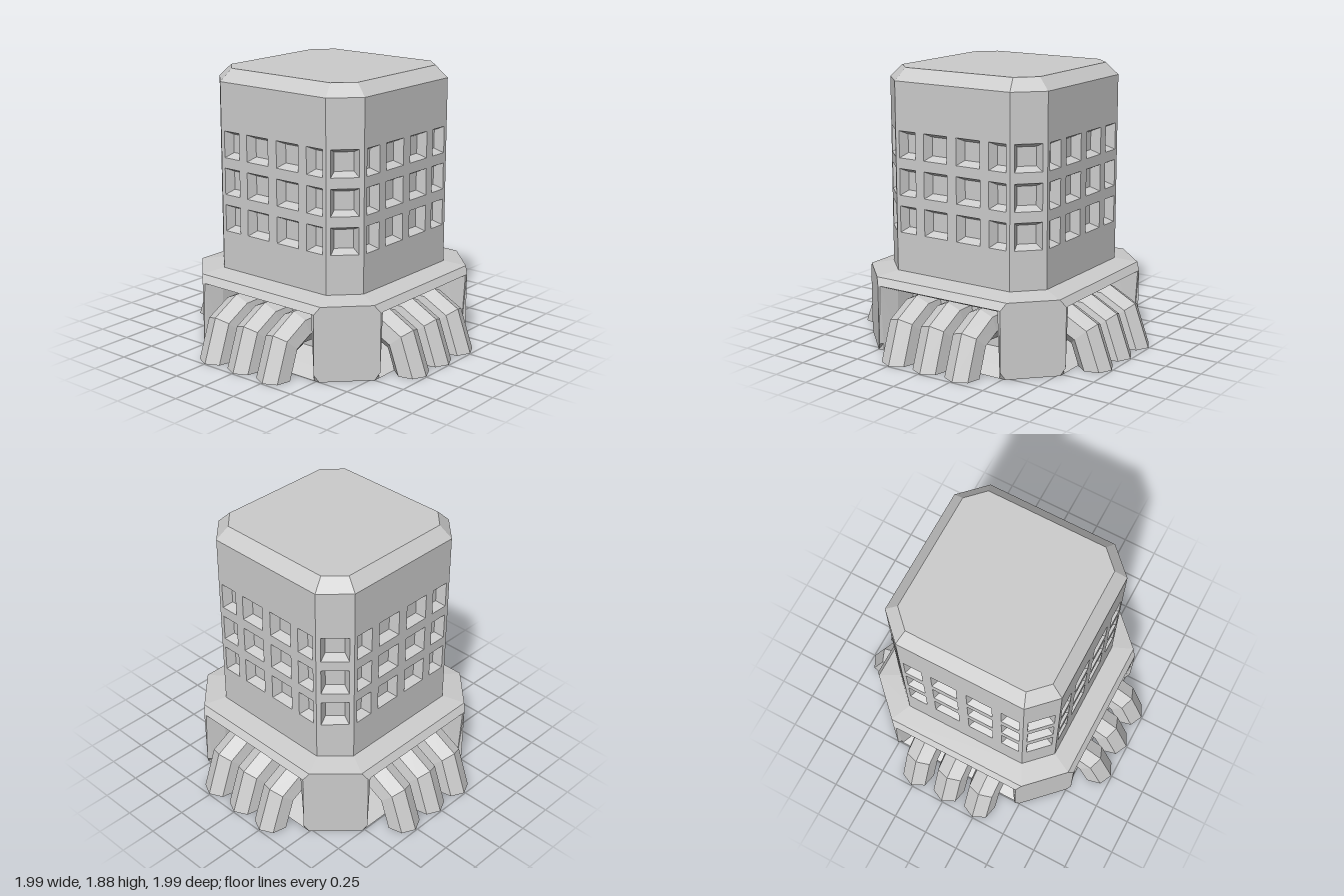
import * as THREE from 'three';

const material = new THREE.MeshStandardMaterial({ color: 0xcccccc, flatShading: true, side: THREE.DoubleSide });
const V = (x, y, z) => new THREE.Vector3(x, y, z);

// Faces from polygons, each listed counter-clockwise from its front
function polyMesh(name, polygons) {
  const pts = [];
  for (const p of polygons)
    for (let i = 1; i < p.length - 1; i++) pts.push(p[0], p[i], p[i + 1]);
  const geometry = new THREE.BufferGeometry().setFromPoints(pts);
  geometry.computeVertexNormals();
  const mesh = new THREE.Mesh(geometry, material);
  mesh.name = name;
  return mesh;
}

// Quads joining successive rings of equal length
function loft(rings) {
  const quads = [];
  for (let r = 0; r < rings.length - 1; r++) {
    const a = rings[r], b = rings[r + 1], n = a.length;
    for (let i = 0; i < n; i++) quads.push([a[i], a[(i + 1) % n], b[(i + 1) % n], b[i]]);
  }
  return quads;
}

// Square with cut corners: half size h, half flat length f
const octagon = (h, f, y) =>
  [[-f, h], [f, h], [h, f], [h, -f], [f, -h], [-f, -h], [-h, -f], [-h, f]].map(([x, z]) => V(x, y, z));

const rect = (x0, x1, y0, y1, z0, z1 = z0) => [V(x0, y0, z0), V(x1, y0, z0), V(x1, y1, z1), V(x0, y1, z1)];

// Tower wall facing +z with tapered, closed window pockets
function windowWall(name, halfWidth, distance, windows) {
  const wall = new THREE.Group();
  wall.name = name;
  const shape = new THREE.Shape(rect(-halfWidth, halfWidth, 0.53, 1.8, 0).map(p => new THREE.Vector2(p.x, p.y)));
  const pockets = [];
  const inset = 0.028, depth = 0.06;
  for (const y of [0.884, 1.135, 1.386])
    for (const [x, w] of windows) {
      const outer = rect(x - w / 2, x + w / 2, y - 0.09, y + 0.09, 0);
      const inner = rect(x - w / 2 + inset, x + w / 2 - inset, y - 0.09 + inset, y + 0.09 - inset, -depth);
      shape.holes.push(new THREE.Path(outer.map(p => new THREE.Vector2(p.x, p.y)).reverse()));
      pockets.push(...loft([outer, inner]), inner);
    }
  const panel = new THREE.Mesh(new THREE.ShapeGeometry(shape), material);
  panel.name = 'wallPanel';
  wall.add(panel, polyMesh('windowPockets', pockets));
  wall.children.forEach(m => { m.position.z = distance; });
  return wall;
}

// Base side facing +z: frame strips, lintel and a deep two-step recess
function baseSide() {
  const rows = [[0, 0.76, 0.51], [0.05, 0.785, 0.485], [0.455, 0.785, 0.485], [0.505, 0.755, 0.515]];
  const edge = 0.465;
  const polys = [];
  for (let i = 0; i < 2; i++) {
    const [y0, z0, f0] = rows[i], [y1, z1, f1] = rows[i + 1];
    const e0 = 0.76 + 0.025 * y0 / 0.455, e1 = 0.76 + 0.025 * y1 / 0.455;
    polys.push([V(edge, y0, e0), V(f0, y0, z0), V(f1, y1, z1), V(edge, y1, e1)]);
    polys.push([V(-f0, y0, z0), V(-edge, y0, e0), V(-edge, y1, e1), V(-f1, y1, z1)]);
  }
  const [, , [yl, zl, fl], [yt, zt, ft]] = rows;
  polys.push([V(-fl, yl, zl), V(fl, yl, zl), V(ft, yt, zt), V(-ft, yt, zt)]);
  const back = rect(-0.39, 0.39, 0.11, 0.4, 0.53);
  polys.push(...loft([rect(-edge, edge, 0, 0.455, 0.76, 0.785), rect(-0.41, 0.41, 0.05, 0.405, 0.67), back]), back);
  return polyMesh('baseSide', polys);
}

// Base corner panel between the +z and +x sides
function baseCorner() {
  const rows = [[0, 0.76, 0.51], [0.05, 0.785, 0.485], [0.455, 0.785, 0.485], [0.505, 0.755, 0.515]];
  const left = rows.map(([y, h, f]) => V(f, y, h));
  const right = rows.map(([y, h, f]) => V(h, y, f));
  return polyMesh('baseCorner', [[left[0], ...right, ...left.slice(1).reverse()]]);
}

// Bent seven-sided claw: [distance out, height, tilt] per station
function claw(x) {
  const stations = [[0.88, 0, 0], [0.8, 0.215, 0.72], [0.66, 0.285, 1.35], [0.5, 0.285, Math.PI / 2]];
  const R = 0.115;
  const rings = stations.map(([out, y, tilt]) => Array.from({ length: 7 }, (_, i) => {
    const a = i / 7 * Math.PI * 2, u = R * Math.cos(a);
    return V(x + R * Math.sin(a), y + u * Math.sin(tilt), out + u * Math.cos(tilt));
  }));
  return polyMesh('claw', [...loft(rings), [...rings[0]].reverse(), rings[3]]);
}

export function createModel() {
  const model = new THREE.Group();
  model.name = 'tower';
  const body = new THREE.Group();
  body.name = 'body';
  body.position.set(0.015, 0, -0.01);
  const claws = new THREE.Group();
  claws.name = 'claws';
  model.add(body, claws);

  // Four sides and corners, each turned about the centre
  for (let k = 0; k < 4; k++) {
    const turn = k * Math.PI / 2;
    const side = windowWall('towerSide', 0.445, 0.615, [[-0.352, 0.13], [-0.128, 0.183], [0.128, 0.183], [0.352, 0.13]]);
    const corner = windowWall('towerCorner', 0.17 / Math.SQRT2, 1.06 / Math.SQRT2, [[0, 0.18]]);
    const base = baseSide(), baseEdge = baseCorner();
    for (const part of [side, corner, base, baseEdge]) part.rotation.y = turn;
    corner.rotation.y += Math.PI / 4;
    body.add(side, corner, base, baseEdge);

    const row = new THREE.Group();
    row.name = 'clawRow';
    for (const x of [-0.253, 0, 0.253]) row.add(claw(x));
    row.rotation.y = turn;
    row.position.set(k % 2 ? 0 : 0.005, 0, k % 2 ? -0.01 : 0);
    claws.add(row);
  }

  // Sloping ledge and bevelled roof
  body.add(polyMesh('ledge', loft([octagon(0.755, 0.515, 0.505), octagon(0.615, 0.445, 0.53)])));
  const top = octagon(0.535, 0.415, 1.88);
  body.add(polyMesh('roof', [...loft([octagon(0.615, 0.445, 1.8), top]), top]));
  return model;
}
